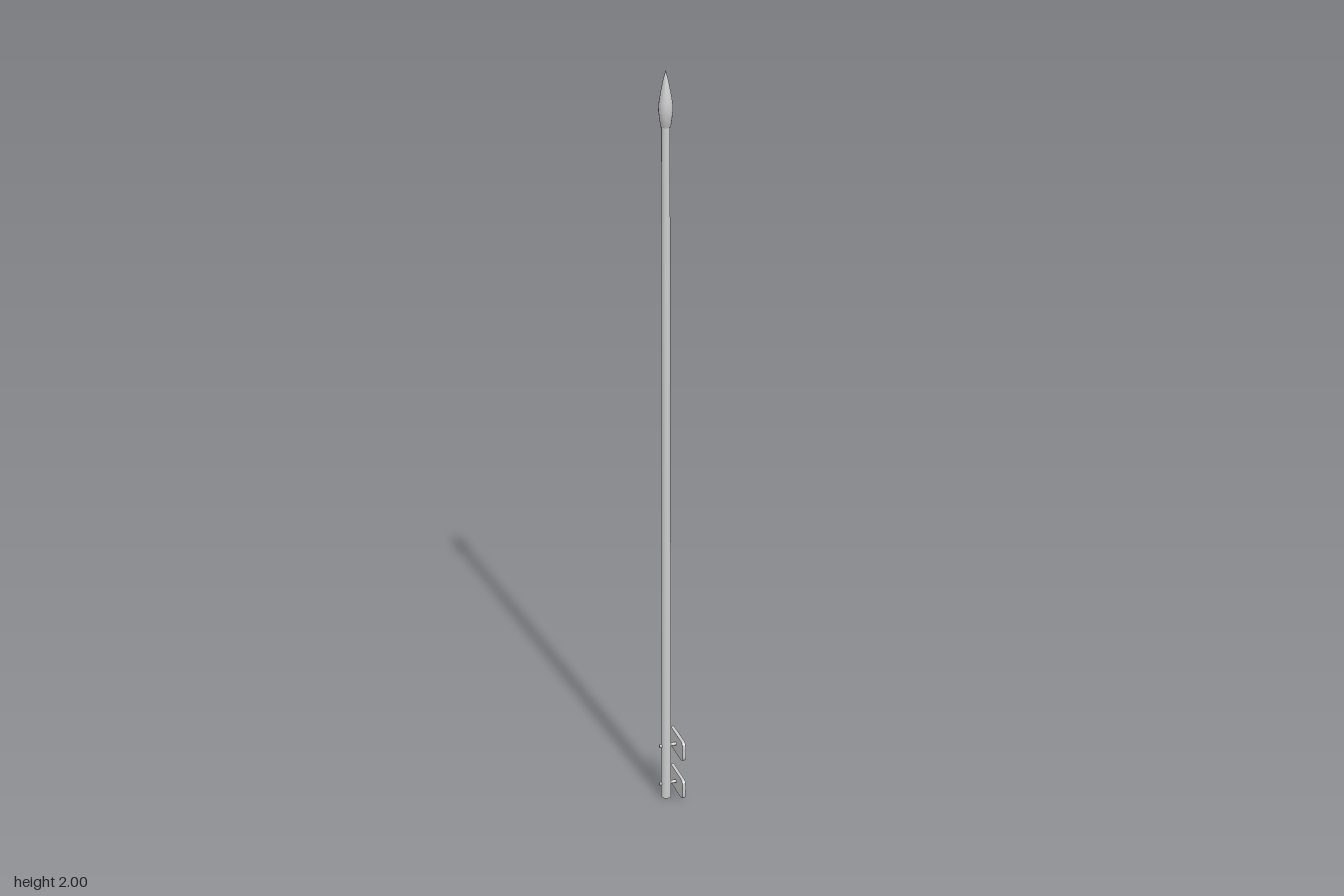
import * as THREE from 'three';

const AXIS_X = -0.0095; // pole axis, offset so the whole model is centred

function material() {
  return new THREE.MeshStandardMaterial({ color: 0xcccccc });
}

function addMesh(parent, name, geometry) {
  const mesh = new THREE.Mesh(geometry, material());
  mesh.name = name;
  parent.add(mesh);
  return mesh;
}

// Rectangular plate with rounded corners, extruded through its thickness
function plateGeometry(width, height, corner, depth) {
  const w = width / 2, h = height / 2, c = corner;
  const s = new THREE.Shape();
  s.moveTo(-w + c, -h);
  s.lineTo(w - c, -h);
  s.quadraticCurveTo(w, -h, w, -h + c);
  s.lineTo(w, h - c);
  s.quadraticCurveTo(w, h, w - c, h);
  s.lineTo(-w + c, h);
  s.quadraticCurveTo(-w, h, -w, h - c);
  s.lineTo(-w, -h + c);
  s.quadraticCurveTo(-w, -h, -w + c, -h);
  const g = new THREE.ExtrudeGeometry(s, { depth, bevelEnabled: false, curveSegments: 3 });
  g.translate(0, 0, -depth / 2);
  g.rotateY(Math.PI / 2);
  return g;
}

// Mounting plate held to the pole by a bolt through it
function createBracket(y) {
  const bracket = new THREE.Group();
  bracket.name = 'mountingBracket';
  bracket.position.y = y;

  const plate = addMesh(bracket, 'mountingPlate', plateGeometry(0.105, 0.057, 0.015, 0.009));
  plate.position.x = 0.0227;

  const bolt = addMesh(bracket, 'bolt', new THREE.CylinderGeometry(0.0045, 0.0045, 0.047, 12));
  bolt.rotation.z = Math.PI / 2;
  bolt.position.x = -0.0045;
  return bracket;
}

export function createModel() {
  const model = new THREE.Group();
  model.name = 'spearPole';

  // Slightly tapered pole
  const pole = addMesh(model, 'pole', new THREE.CylinderGeometry(0.0105, 0.0135, 1.87, 16));
  pole.position.set(AXIS_X, 0.935, 0);

  // Pointed finial with a short flared socket
  const profile = [
    [0, 1.86], [0.0125, 1.86], [0.0178, 1.9], [0.0165, 1.92], [0.0125, 1.945], [0.007, 1.972], [0, 2],
  ].map(([r, y]) => new THREE.Vector2(r, y));
  const finial = addMesh(model, 'finial', new THREE.LatheGeometry(profile, 16));
  finial.position.x = AXIS_X;

  // Two brackets near the foot
  for (const y of [0.157, 0.041]) model.add(createBracket(y));

  return model;
}
